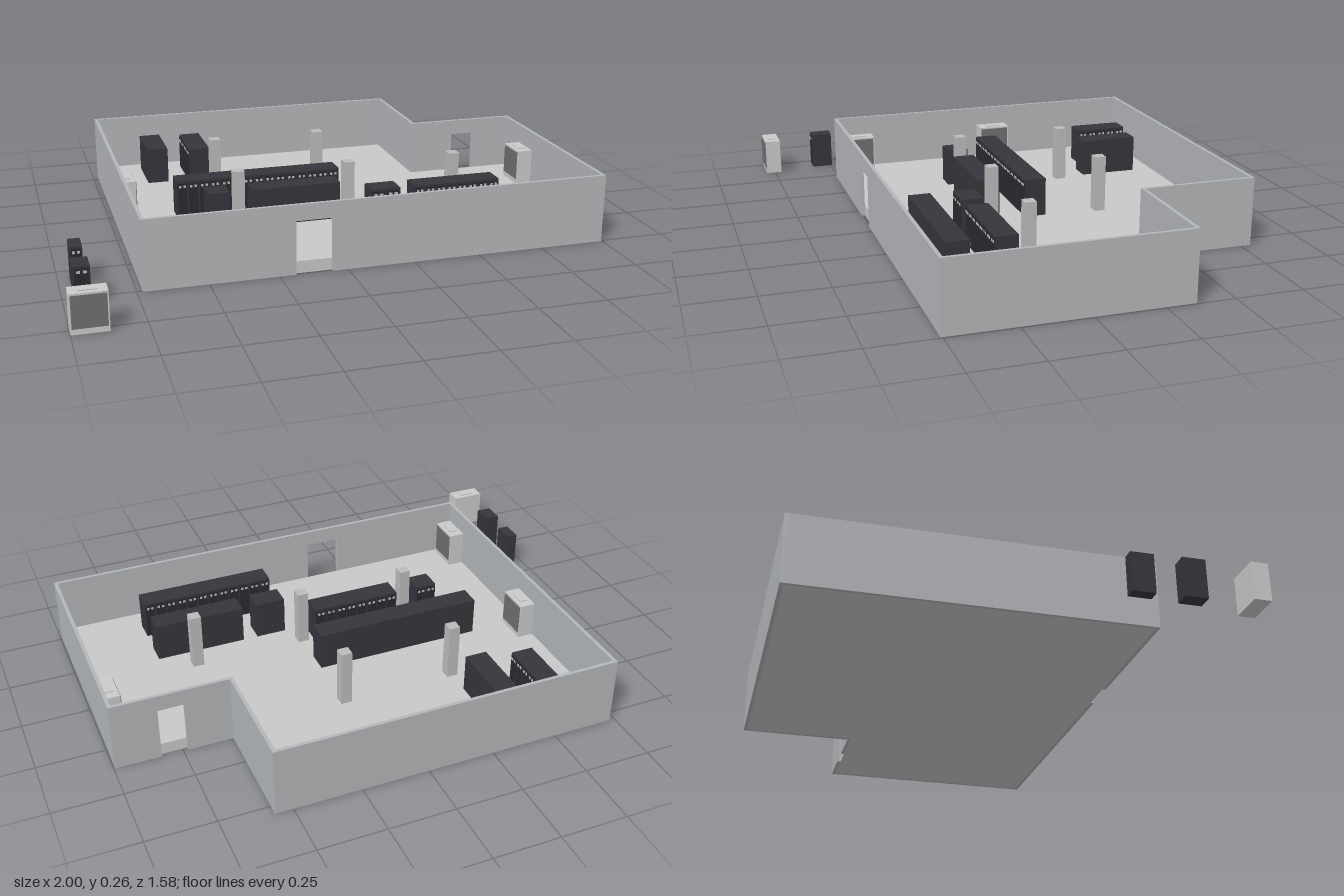
import * as THREE from 'three';

const mat = (name, color) => {
  const m = new THREE.MeshStandardMaterial({ color });
  m.name = name;
  return m;
};

export function createModel() {
  const wallMat = mat('wall grey', 0xb4b7ba);
  const floorMat = mat('floor grey', 0xc9c9c9);
  const columnMat = mat('column grey', 0xbcbcbc);
  const rackMat = mat('rack charcoal', 0x37353c);
  const doorMat = mat('rack door black', 0x2b2a30);
  const labelMat = mat('rack light grey', 0xb8b8be);
  const coolerMat = mat('cooler light grey', 0xcbcbcb);
  const grilleMat = mat('grille grey', 0x707070);

  const model = new THREE.Group();
  model.name = 'serverRoom';

  // Box given by its centre and size
  const box = (parent, name, material, w, h, d, x, y, z) => {
    const mesh = new THREE.Mesh(new THREE.BoxGeometry(w, h, d), material);
    mesh.name = name;
    mesh.position.set(x, y, z);
    parent.add(mesh);
    return mesh;
  };

  const T = 0.013, H = 0.26, FLOOR = 0.045, DOOR = 0.2;
  const X0 = -0.73, X1 = 0.995, XS = 0.565, Z0 = -0.79, Z1 = 0.507, ZS = -0.36;

  // Walls along x, with an optional doorway cut from the bottom edge
  const wallX = (name, xa, xb, z, door) => {
    const pts = [[xa, 0]];
    if (door) pts.push([door[0], 0], [door[0], DOOR], [door[1], DOOR], [door[1], 0]);
    pts.push([xb, 0], [xb, H], [xa, H]);
    const shape = new THREE.Shape(pts.map(([x, y]) => new THREE.Vector2(x, y)));
    const mesh = new THREE.Mesh(
      new THREE.ExtrudeGeometry(shape, { depth: T, bevelEnabled: false }), wallMat);
    mesh.name = name;
    mesh.position.z = z;
    model.add(mesh);
  };
  wallX('frontWall', X0, X1, Z1 - T, [-0.19, -0.057]);
  wallX('backWall', X0, XS, Z0);
  wallX('recessWall', XS - T, X1, ZS, [0.733, 0.828]);

  // Walls along z
  const wallZ = (name, x, za, zb) =>
    box(model, name, wallMat, T, H, zb - za, x, H / 2, (za + zb) / 2);
  wallZ('leftEndWall', X0 + T / 2, Z0 + T, Z1 - T);
  wallZ('rightEndWall', X1 - T / 2, ZS + T, Z1 - T);
  wallZ('recessSideWall', XS - T / 2, Z0 + T, ZS);

  // Raised floor filling the L-shaped room
  const plan = new THREE.Shape([
    [X0 + T, Z0 + T], [XS - T, Z0 + T], [XS - T, ZS + T],
    [X1 - T, ZS + T], [X1 - T, Z1 - T], [X0 + T, Z1 - T],
  ].map(([x, z]) => new THREE.Vector2(x, -z)));
  const floorGeo = new THREE.ExtrudeGeometry(plan, { depth: FLOOR, bevelEnabled: false });
  floorGeo.rotateX(-Math.PI / 2);
  const floor = new THREE.Mesh(floorGeo, floorMat);
  floor.name = 'raisedFloor';
  model.add(floor);

  // Square columns
  for (const [x, z] of [[-0.297, -0.358], [0.134, -0.358], [-0.297, 0.073], [0.134, 0.073], [0.562, 0.073]])
    box(model, 'column', columnMat, 0.042, H - FLOOR, 0.042, x, (H + FLOOR) / 2, z);

  // One cabinet, front towards its own +z
  const RH = 0.145, RD = 0.083;
  const addRack = (parent, w, x, y, z, turn) => {
    const rack = new THREE.Group();
    rack.name = 'serverRack';
    rack.position.set(x, y, z);
    rack.rotation.y = turn;
    box(rack, 'cabinet', rackMat, w, RH, RD, 0, RH / 2, 0);
    box(rack, 'rackDoor', doorMat, w * 0.84, RH * 0.9, 0.002, 0, RH / 2, RD / 2 + 0.001);
    for (const s of [-1, 1])
      box(rack, 'indicator', labelMat, w * 0.22, 0.009, 0.002, s * w * 0.2, RH * 0.86, RD / 2 + 0.003);
    parent.add(rack);
  };

  // Rows: centre x, centre z, count, length, turn
  const P = Math.PI;
  const rows = [
    [-0.508, -0.615, 5, 0.21, P / 2],
    [-0.34, -0.582, 4, 0.228, -P / 2],
    [-0.185, -0.1, 15, 0.645, 0],
    [-0.38, 0.071, 2, 0.083, P],
    [-0.08, 0.071, 8, 0.343, P],
    [0.233, 0.194, 2, 0.115, 0],
    [0.519, 0.194, 8, 0.343, 0],
    [0.433, 0.364, 12, 0.515, P],
  ];
  for (const [cx, cz, n, len, turn] of rows) {
    const row = new THREE.Group();
    row.name = 'rackRow';
    row.position.set(cx, FLOOR, cz);
    row.rotation.y = turn;
    for (let i = 0; i < n; i++) addRack(row, len / n, (i + 0.5) * len / n - len / 2, 0, 0, 0);
    model.add(row);
  }

  // Spare cabinets outside the room
  addRack(model, 0.043, -0.936, 0, 0.357, 0);
  addRack(model, 0.057, -0.937, 0, 0.536, 0);

  // Cooling units, grille towards their own +z
  const addCooler = (x, y, z, turn) => {
    const unit = new THREE.Group();
    unit.name = 'coolingUnit';
    unit.position.set(x, y, z);
    unit.rotation.y = turn;
    box(unit, 'casing', coolerMat, 0.126, 0.14, 0.062, 0, 0.07, 0);
    box(unit, 'grille', grilleMat, 0.116, 0.113, 0.003, 0, 0.077, 0.0325);
    box(unit, 'topVent', coolerMat, 0.06, 0.004, 0.03, 0, 0.142, 0);
    model.add(unit);
  };
  addCooler(-0.937, 0, 0.755, 0);
  addCooler(-0.685, FLOOR, -0.186, P / 2);
  addCooler(-0.685, FLOOR, 0.415, P / 2);
  addCooler(0.951, FLOOR, -0.143, -P / 2);

  return model;
}
